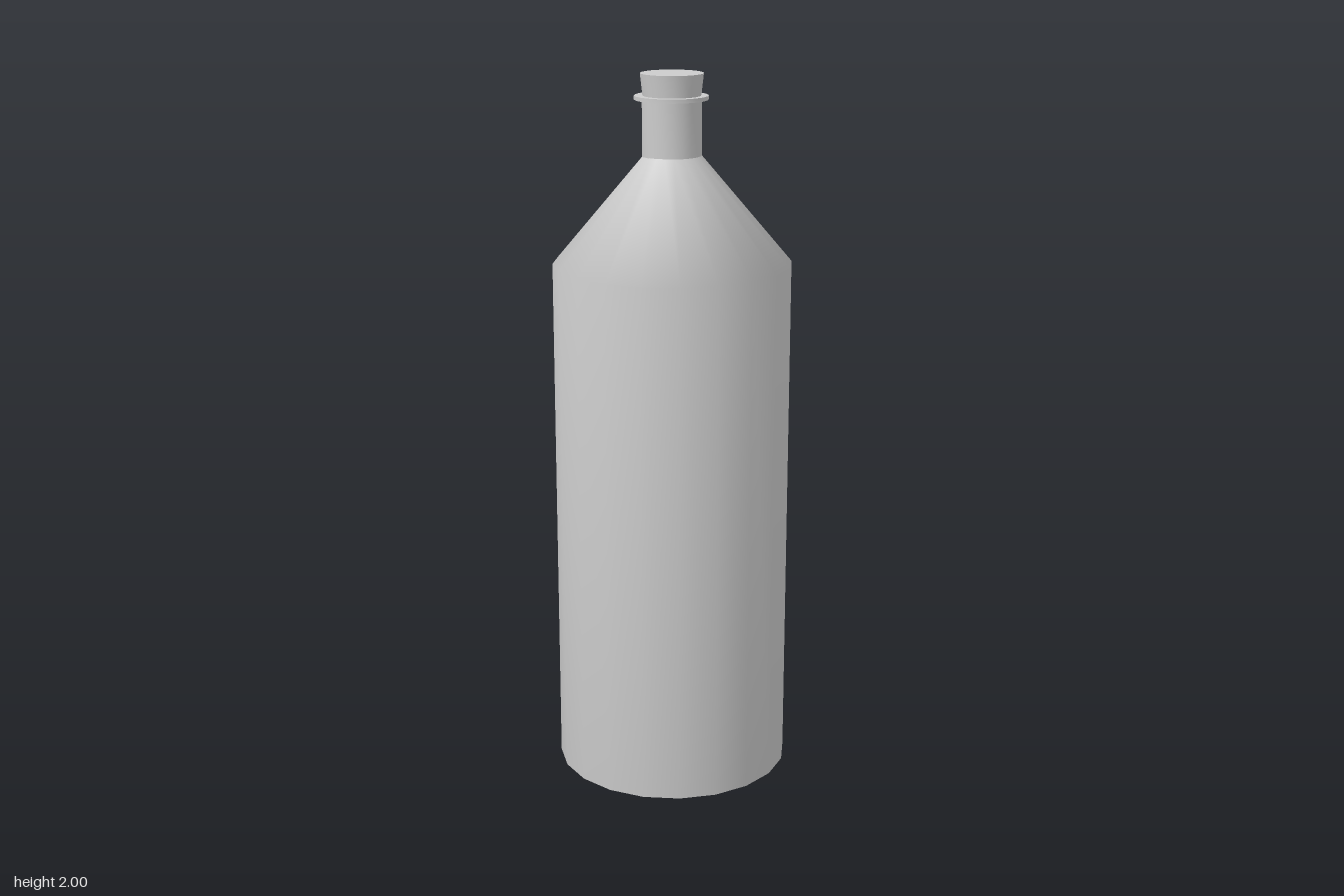
import * as THREE from 'three';
import { mergeVertices } from 'three/addons/utils/BufferGeometryUtils.js';

const SIDES = 20;
const material = new THREE.MeshStandardMaterial({ color: 0xcccccc });

// Revolve one smooth run of [radius, height] points, listed from the bottom outward and up.
function revolve(points) {
  const lathe = new THREE.LatheGeometry(points.map(([r, y]) => new THREE.Vector2(r, y)), SIDES);
  lathe.deleteAttribute('normal');
  lathe.deleteAttribute('uv');
  const geometry = mergeVertices(lathe, 1e-5);
  geometry.computeVertexNormals();
  return geometry;
}

// A part made of smooth runs with sharp edges between them.
function part(name, ...runs) {
  const group = new THREE.Group();
  group.name = name;
  runs.forEach((run, i) => {
    const mesh = new THREE.Mesh(revolve(run), material);
    mesh.name = `${name}Surface${i + 1}`;
    group.add(mesh);
  });
  return group;
}

export function createModel() {
  const bottle = new THREE.Group();
  bottle.name = 'bottle';

  // Base, wall and sloping shoulder share soft shading
  bottle.add(part('body', [[0, 0], [0.21, 0], [0.333, 0], [0.333, 1.48], [0.08, 1.778]]));

  // Neck, lip and stopper sit very slightly off the body's axis
  const top = new THREE.Group();
  top.name = 'top';
  top.position.set(-0.003, 0, -0.002);
  top.add(part('neck', [[0.082, 1.772], [0.082, 1.935]]));

  // Thin flat collar around the neck
  const lip = part('lip',
    [[0.078, 1.929], [0.102, 1.929]],
    [[0.102, 1.929], [0.102, 1.94]],
    [[0.102, 1.94], [0.074, 1.94]]);
  lip.position.x = -0.002;
  top.add(lip);

  // Tapered stopper, wider at the top
  top.add(part('stopper',
    [[0.079, 1.93], [0.087, 2]],
    [[0.087, 2], [0, 2]]));

  bottle.add(top);
  return bottle;
}
